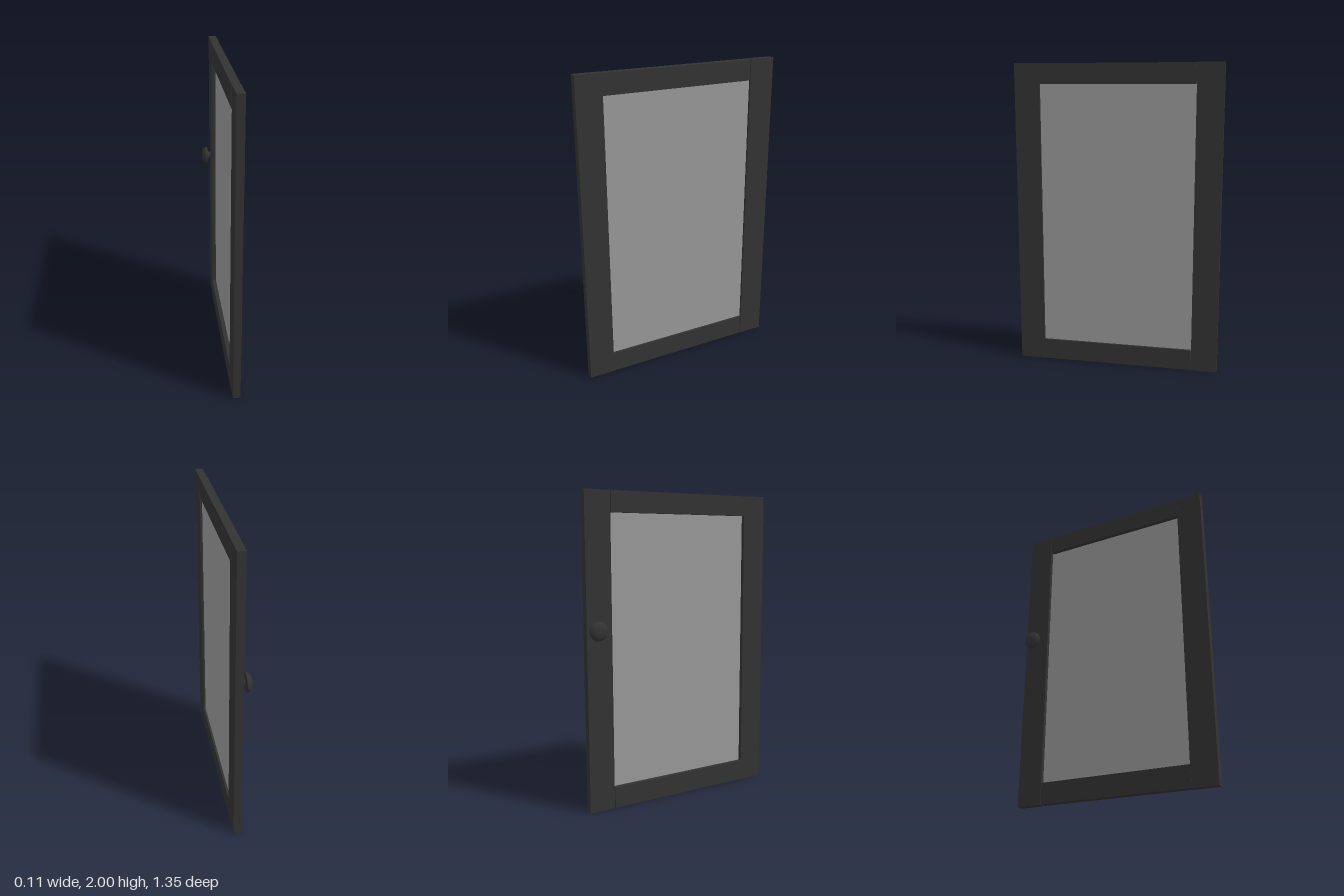
import * as THREE from 'three';
import { toCreasedNormals } from 'three/addons/utils/BufferGeometryUtils.js';

export function createModel() {
  const door = new THREE.Group();
  door.name = 'cabinetDoor';
  const dark = new THREE.MeshStandardMaterial({ color: 0x333333 });
  const pane = new THREE.MeshStandardMaterial({ color: 0x999999 });

  // Box given by its limits on each axis
  function box(name, [x0, x1], [y0, y1], [z0, z1], material = dark) {
    const mesh = new THREE.Mesh(new THREE.BoxGeometry(x1 - x0, y1 - y0, z1 - z0), material);
    mesh.position.set((x0 + x1) / 2, (y0 + y1) / 2, (z0 + z1) / 2);
    mesh.name = name;
    door.add(mesh);
  }

  // Upright stiles: hinge side at +z, knob side at -z
  box('hingeStile', [0.004, 0.053], [0, 2], [0.507, 0.675]);
  box('knobStile', [0.004, 0.053], [0, 2], [-0.675, -0.505]);

  // Rails, standing slightly proud on the knob side, with a tongue into each stile
  for (const [name, y0, y1] of [['bottomRail', 0.001, 0.138], ['topRail', 1.868, 1.999]]) {
    box(name, [0.002, 0.052], [y0, y1], [-0.5, 0.51]);
    box(name + 'Tongue', [0.015, 0.035], [y0 + 0.01, y1 - 0.01], [-0.52, 0.52]);
  }

  // Glass panel held in the frame
  box('glassPanel', [0.03, 0.038], [0.13, 1.875], [-0.515, 0.515], pane);

  // Two hinge leaves let into the hinge stile
  for (const y of [0.49, 1.6]) box('hingeLeaf', [0.049, 0.0538], [y - 0.07, y + 0.07], [0.665, 0.6752]);

  // Turned knob: stem, flared back, rim and domed face, pointing to -x
  const profile = [
    [0.024, 0], [0.024, 0.018], [0.038, 0.02], [0.059, 0.026], [0.06, 0.036],
    [0.053, 0.047], [0.042, 0.055], [0.026, 0.061], [0, 0.063],
  ].map(([r, h]) => new THREE.Vector2(r, h));
  const knob = new THREE.Mesh(toCreasedNormals(new THREE.LatheGeometry(profile, 24), 0.6), dark);
  knob.name = 'knob';
  knob.rotation.z = Math.PI / 2;
  knob.position.set(0.005, 1.155, -0.61);
  door.add(knob);

  return door;
}
